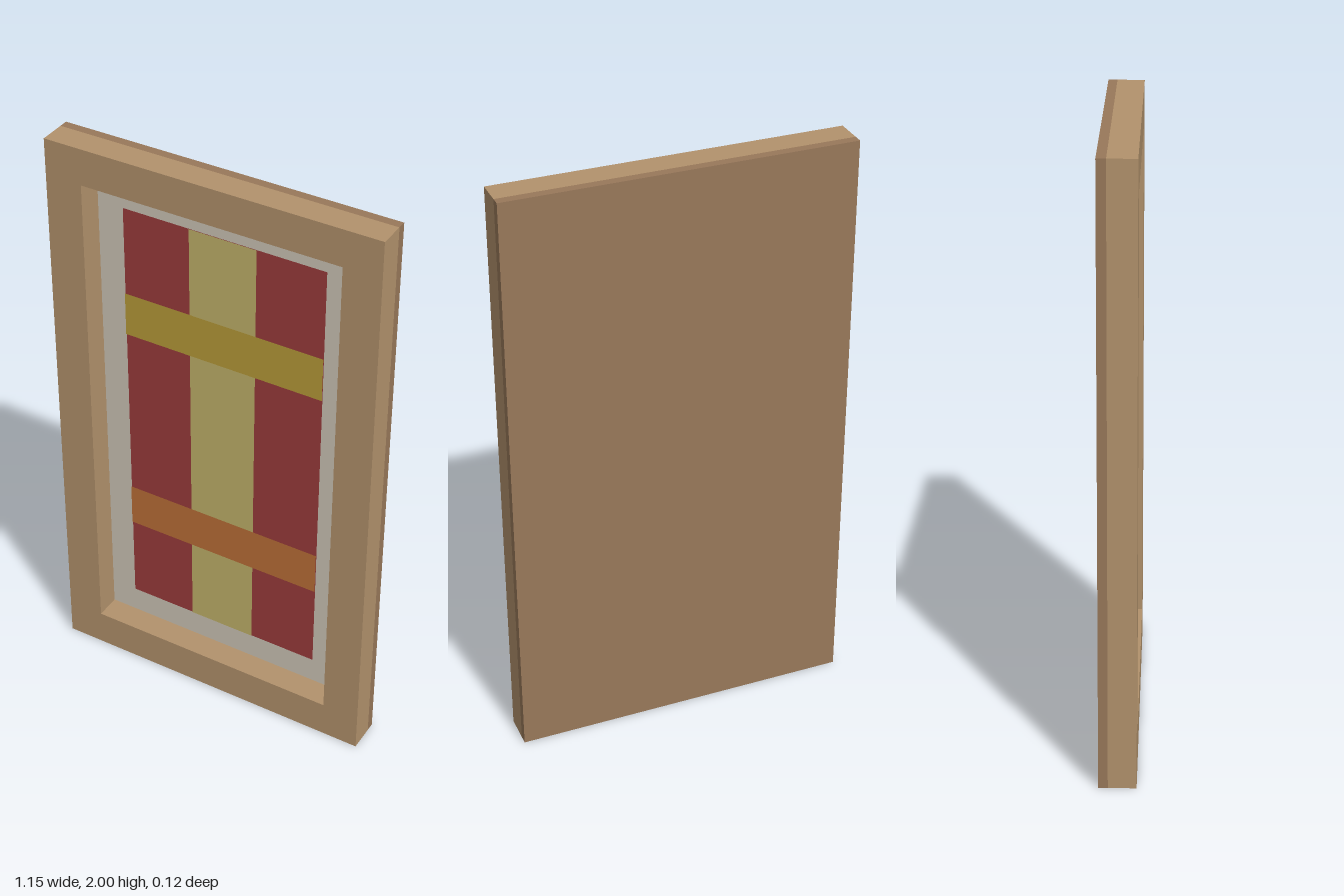
import * as THREE from 'three';

const W = 0.575, H = 2;
const mat = (color) => new THREE.MeshStandardMaterial({ color });

// Counter-clockwise rectangle outline
function rect(target, x0, y0, x1, y1) {
  target.moveTo(x0, y0);
  target.lineTo(x1, y0);
  target.lineTo(x1, y1);
  target.lineTo(x0, y1);
  target.closePath();
  return target;
}

export function createModel() {
  const group = new THREE.Group();
  const add = (name, geometry, color) => {
    const mesh = new THREE.Mesh(geometry, mat(color));
    mesh.name = name;
    group.add(mesh);
    return mesh;
  };

  // Wooden surround with a rectangular opening
  const outline = rect(new THREE.Shape(), -W, 0, W, H);
  outline.holes.push(rect(new THREE.Path(), -0.447, 0.13, 0.447, 1.875));
  const frame = new THREE.ExtrudeGeometry(outline, { depth: 0.09, bevelEnabled: false });
  add('frame', frame, 0xb2926c).position.z = -0.03;

  // Darker board closing the back
  add('backBoard', new THREE.BoxGeometry(2 * W, H, 0.03), 0x98785a).position.set(0, H / 2, -0.045);

  // Flat layers of the picture, each just in front of the last
  const layers = [
    // name, half width, bottom, top, color
    ['mount', 0.447, 0.13, 1.875, 0xcec6b7],
    ['redField', 0.355, 0.225, 1.78, 0x9b3b3c],
    ['paleStripe', 0.118, 0.225, 1.78, 0xc2b36a],
    ['goldBand', 0.355, 1.315, 1.47, 0xb89b39],
    ['orangeBand', 0.355, 0.535, 0.69, 0xbc6f37],
  ];
  layers.forEach(([name, half, y0, y1, color], i) => {
    const layer = add(name, new THREE.PlaneGeometry(2 * half, y1 - y0), color);
    layer.position.set(0, (y0 + y1) / 2, -0.028 + Math.min(i, 3) * 0.002);
  });

  return group;
}
